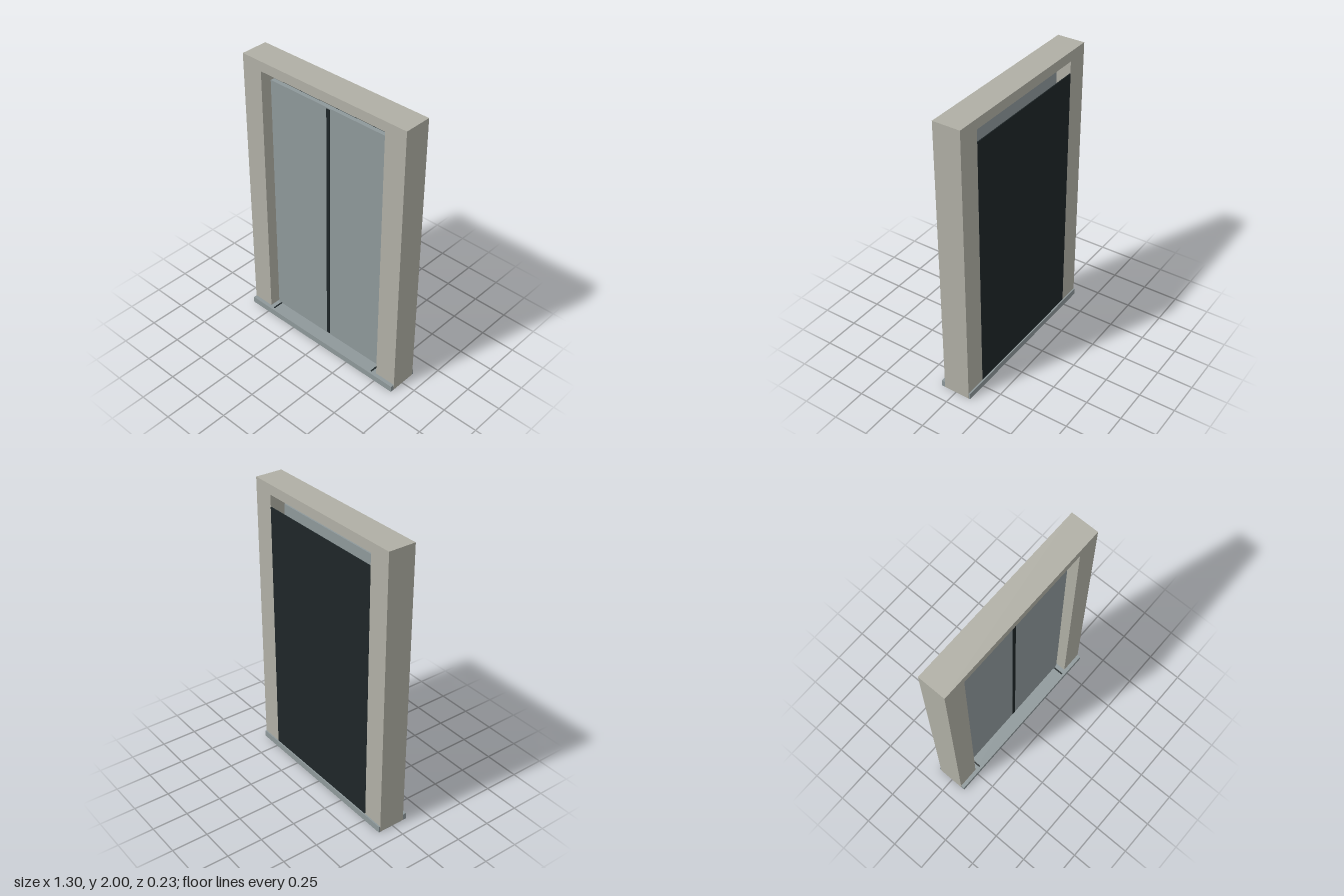
import * as THREE from 'three';

export function createModel() {
  const model = new THREE.Group();
  model.name = 'slidingDoorway';

  const material = (name, color) => {
    const m = new THREE.MeshStandardMaterial({ color });
    m.name = name;
    return m;
  };
  const stone = material('warm grey frame', 0xb0afa5);
  const steel = material('brushed steel', 0x8e989a);
  const dark = material('dark rubber', 0x1e2628);

  // Box given by its lower and upper limits on each axis
  const box = (name, mat, [x0, x1], [y0, y1], [z0, z1]) => {
    const mesh = new THREE.Mesh(new THREE.BoxGeometry(x1 - x0, y1 - y0, z1 - z0), mat);
    mesh.position.set((x0 + x1) / 2, (y0 + y1) / 2, (z0 + z1) / 2);
    mesh.name = name;
    model.add(mesh);
  };
  const mirrored = (side, a, b) => (side > 0 ? [a, b] : [-b, -a]);

  const frameZ = [-0.103, 0.087];

  // Fixed surround: header, threshold and the dark back panel
  box('header', stone, [-0.648, 0.648], [1.932, 2], frameZ);
  box('sill', steel, [-0.647, 0.647], [0, 0.045], [-0.113, 0.113]);
  box('backPanel', dark, [-0.494, 0.494], [0.04, 1.85], [-0.104, -0.098]);

  for (const side of [1, -1]) {
    const tag = side > 0 ? 'left' : 'right';
    box(tag + 'Post', stone, mirrored(side, 0.494, 0.648), [0.002, 1.932], frameZ);
    // Sliding leaf with its meeting-edge seal
    box(tag + 'Door', steel, mirrored(side, 0, 0.482), [0.045, 1.85], [-0.01, 0.02]);
    box(tag + 'Seal', dark, mirrored(side, 0, 0.013), [0.053, 1.843], [0.016, 0.023]);
    // Short guide strip across the threshold
    box(tag + 'Guide', dark, mirrored(side, 0.452, 0.462), [0.042, 0.048], [0.015, 0.095]);
  }
  return model;
}
